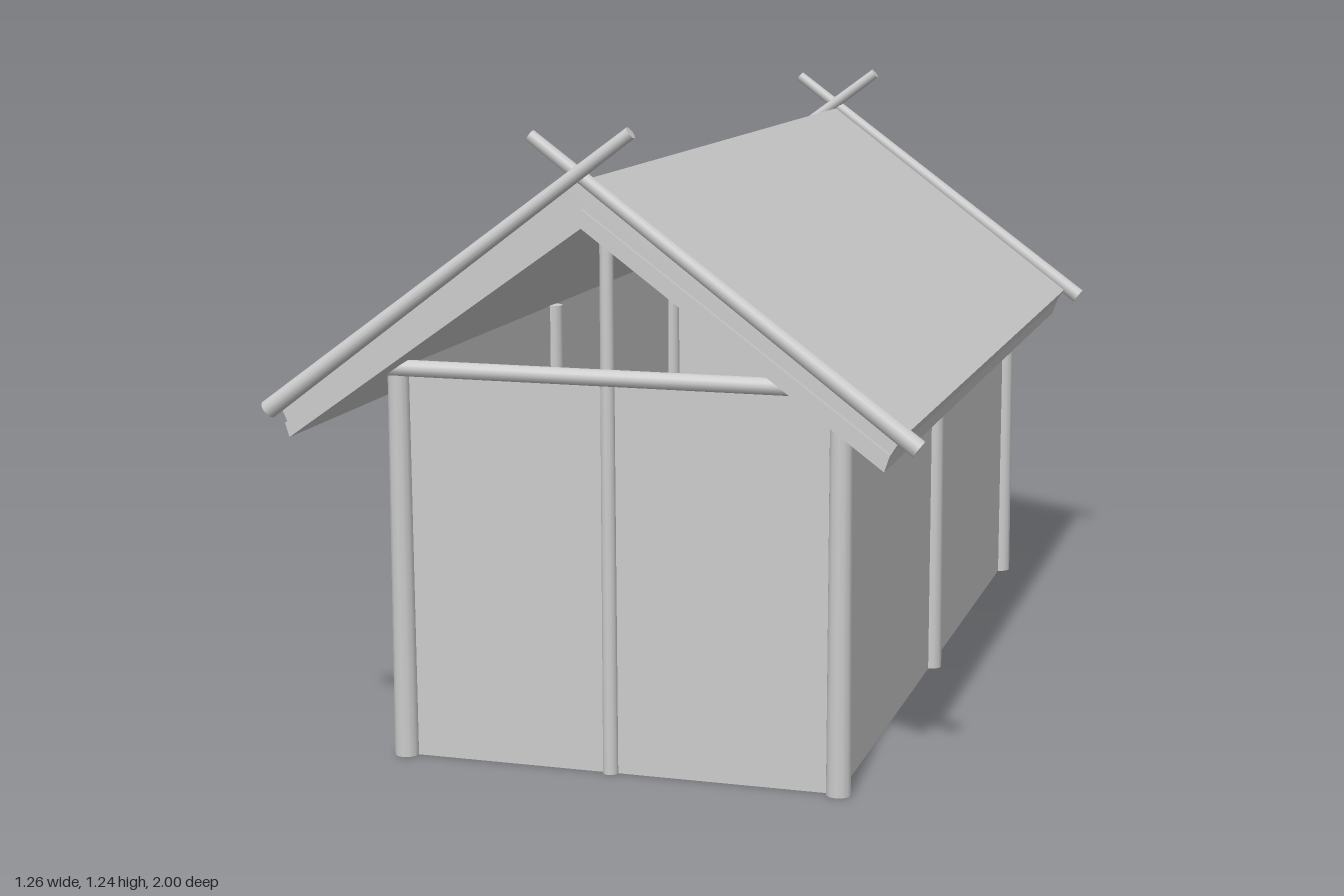
import * as THREE from 'three';

const timber = new THREE.MeshStandardMaterial({ color: 0xcccccc, side: THREE.DoubleSide });
timber.name = 'pale grey';

export function createModel() {
  const model = new THREE.Group();
  model.name = 'longhouse';

  function add(name, geometry) {
    const mesh = new THREE.Mesh(geometry, timber);
    mesh.name = name;
    model.add(mesh);
    return mesh;
  }

  // Round pole between two points, tapering from radius r0 to r1
  function pole(name, from, to, r0, r1 = r0) {
    const a = new THREE.Vector3(...from), b = new THREE.Vector3(...to);
    const mesh = add(name, new THREE.CylinderGeometry(r1, r0, a.distanceTo(b), 12));
    mesh.position.copy(a).add(b).multiplyScalar(0.5);
    mesh.quaternion.setFromUnitVectors(new THREE.Vector3(0, 1, 0), b.sub(a).normalize());
  }

  // Single-sheet wall panel, seen from both sides
  function wall(name, width, height, x, z, turn) {
    const mesh = add(name, new THREE.PlaneGeometry(width, height));
    mesh.position.set(x, height / 2, z);
    mesh.rotation.y = turn;
  }

  // Roof layer: a gable cross-section run along the length
  function roofLayer(name, points, z0, z1) {
    const shape = new THREE.Shape(points.map(([x, y]) => new THREE.Vector2(x, y)));
    const geometry = new THREE.ExtrudeGeometry(shape, { depth: z1 - z0, bevelEnabled: false });
    add(name, geometry.translate(0, 0, z0));
  }

  const left = 0.447, right = -0.415, front = 0.84, back = -0.9;

  // Side walls and their posts
  for (const [side, x] of [['left', left], ['right', right]]) {
    wall(side + 'Wall', front - back, 0.76, x, (front + back) / 2, Math.PI / 2);
    for (const z of [front, -0.02, back]) {
      pole(side + 'Post', [x, 0, z], [x, 0.76, z], 0.024, 0.021);
    }
  }

  // End walls, king posts and tie beams; the gables above stay open
  for (const [end, z, out] of [['front', front, 1], ['back', back, -1]]) {
    wall(end + 'Wall', left - right, 0.76, (left + right) / 2, z, 0);
    pole(end + 'KingPost', [0.002, 0, z], [0.002, 1.08, z], 0.015, 0.013);
    pole(end + 'TieBeam', [-0.43, 0.765, z + out * 0.015], [0.43, 0.765, z + out * 0.015], 0.016);
  }

  // Roof covering over a slightly narrower lining
  roofLayer('roofCovering', [
    [-0.6, 0.7], [-0.035, 1.127], [0, 1.14], [0.583, 0.703],
    [0.566, 0.675], [0, 1.09], [-0.588, 0.672],
  ], -0.965, 0.965);
  roofLayer('roofLining', [
    [-0.588, 0.672], [0, 1.09], [0.566, 0.675],
    [0.556, 0.645], [0, 1.055], [-0.58, 0.645],
  ], -0.97, 0.975);

  // Barge poles crossing above the ridge at both ends
  for (const [end, zRight, zLeft] of [['front', 0.982, 0.965], ['back', -0.975, -0.982]]) {
    pole(end + 'RightBargePole', [-0.618, 0.697, zRight], [0.097, 1.228, zRight], 0.018, 0.012);
    pole(end + 'LeftBargePole', [0.616, 0.687, zLeft], [-0.097, 1.218, zLeft], 0.018, 0.012);
  }

  return model;
}
